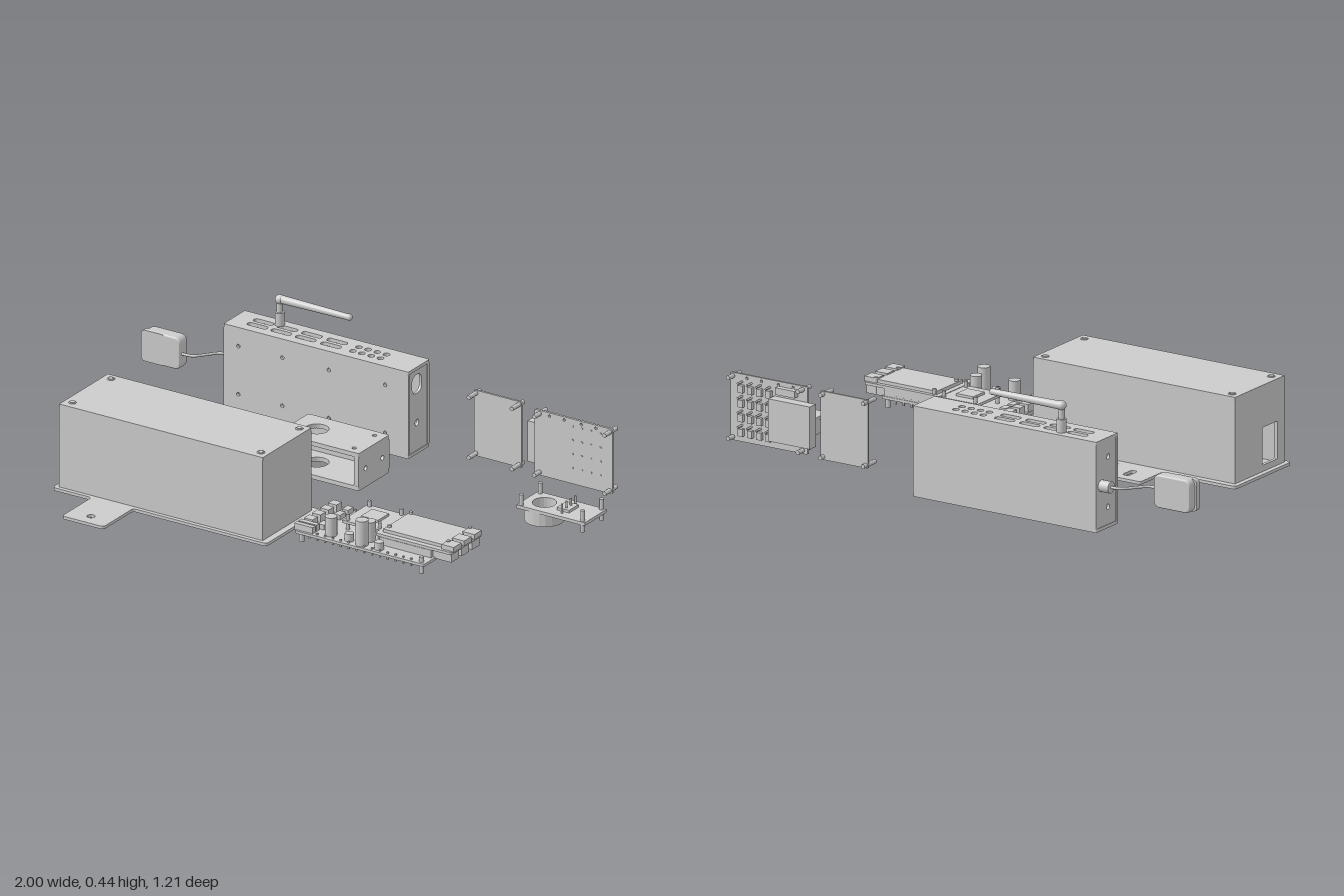
import * as THREE from 'three';

const mat = new THREE.MeshStandardMaterial({ color: 0xcccccc, side: THREE.DoubleSide });

export function createModel() {
  const root = new THREE.Group();
  let target = root;
  const group = (name) => {
    target = new THREE.Group();
    target.name = name;
    root.add(target);
  };
  const add = (name, geo, x = 0, y = 0, z = 0) => {
    const m = new THREE.Mesh(geo, mat);
    m.name = name;
    m.position.set(x, y, z);
    target.add(m);
    return m;
  };
  // box given by its limits
  const block = (name, x0, x1, y0, y1, z0, z1) =>
    add(name, new THREE.BoxGeometry(x1 - x0, y1 - y0, z1 - z0), (x0 + x1) / 2, (y0 + y1) / 2, (z0 + z1) / 2);
  // cylinder along an axis
  const rod = (name, r, len, axis, x, y, z, r2 = r, sides = 20) => {
    const g = new THREE.CylinderGeometry(r2, r, len, sides);
    if (axis === 'x') g.rotateZ(-Math.PI / 2);
    if (axis === 'z') g.rotateX(Math.PI / 2);
    return add(name, g, x, y, z);
  };
  // polygon with rounded corners
  const poly = (pts, r) => {
    const s = new THREE.Shape();
    const v = pts.map((p) => new THREE.Vector2(...p));
    v.forEach((p, i) => {
      const a = v[(i + v.length - 1) % v.length], b = v[(i + 1) % v.length];
      const p0 = p.clone().add(a.clone().sub(p).setLength(r));
      const p1 = p.clone().add(b.clone().sub(p).setLength(r));
      if (i) s.lineTo(p0.x, p0.y); else s.moveTo(p0.x, p0.y);
      s.quadraticCurveTo(p.x, p.y, p1.x, p1.y);
    });
    s.closePath();
    return s;
  };
  const rect = (x0, x1, y0, y1, r = 0.004) => poly([[x0, y0], [x1, y0], [x1, y1], [x0, y1]], r);
  const circle = (x, y, r) => new THREE.Path().absarc(x, y, r, 0, Math.PI * 2);
  const slot = (x, y, w, h) => rect(x - w / 2, x + w / 2, y - h / 2, y + h / 2, Math.min(w, h) * 0.48);
  const extrude = (shape, holes, depth) => {
    shape.holes.push(...holes);
    return new THREE.ExtrudeGeometry(shape, { depth, bevelEnabled: false, curveSegments: 10 });
  };
  // sheets: flat takes (x, z) below a top height, upright takes (x, y), end takes (z, y) inward from x
  const flat = (name, shape, holes, top, t) => add(name, extrude(shape, holes, t).rotateX(Math.PI / 2), 0, top, 0);
  const upright = (name, shape, holes, z, t) => add(name, extrude(shape, holes, t), 0, 0, z);
  const end = (name, shape, holes, x, t) => add(name, extrude(shape, holes, t).rotateY(-Math.PI / 2), x, 0, 0);

  // mounting plate with two tabs
  group('mainEnclosure');
  flat('mountingPlate', poly([[-0.78, 0.07], [-0.48, 0.07], [-0.48, -0.065], [-0.305, -0.065], [-0.305, 0.07], [0.095, 0.07],
    [0.095, 0.415], [-0.45, 0.415], [-0.45, 0.6], [-0.62, 0.6], [-0.62, 0.415], [-0.78, 0.415]], 0.015),
    [slot(-0.393, 0, 0.026, 0.06), circle(-0.535, 0.548, 0.014)], 0.017, 0.011);
  // hollow cover with a cable opening at one end
  const [cx0, cx1, cz0, cz1] = [-0.762, 0.07, 0.095, 0.4];
  flat('coverTop', rect(cx0, cx1, cz0, cz1), [], 0.327, 0.012);
  block('coverBack', cx0, cx1, 0.017, 0.315, cz0, cz0 + 0.012);
  block('coverFront', cx0, cx1, 0.017, 0.315, cz1 - 0.012, cz1);
  end('coverRightEnd', rect(cz0 + 0.012, cz1 - 0.012, 0.017, 0.315, 0.001), [rect(0.265, 0.355, 0.04, 0.175)], cx0 + 0.012, 0.012);
  end('coverLeftEnd', rect(cz0 + 0.012, cz1 - 0.012, 0.017, 0.315, 0.001), [], cx1, 0.012);
  for (const x of [-0.73, 0.04]) for (const z of [0.125, 0.365]) {
    add('coverScrew', new THREE.TorusGeometry(0.011, 0.003, 6, 20).rotateX(Math.PI / 2), x, 0.327, z);
    rod('screwHead', 0.008, 0.004, 'y', x, 0.328, z);
  }

  // upright vented enclosure
  group('ventedEnclosure');
  const [bx0, bx1, by0, by1, bz0, bz1] = [-0.66, 0.095, 0.005, 0.33, -0.605, -0.472];
  const vents = () => [-0.558, -0.52].flatMap((z) => [
    ...[-0.552, -0.455, -0.355, -0.252].map((x) => slot(x, z, 0.08, 0.023)),
    ...[-0.163, -0.126, -0.088, -0.05].map((x) => circle(x, z, 0.012))]);
  flat('ventedTop', rect(bx0, bx1, bz0, bz1), vents(), by1, 0.012);
  flat('ventedBottom', rect(bx0, bx1, bz0, bz1), vents(), by0 + 0.012, 0.012);
  const screws = [-0.6, -0.42, -0.23, 0.0].flatMap((x) => [0.08, 0.26].map((y) => circle(x, y, 0.007)));
  upright('ventedFront', rect(bx0, bx1, by0 + 0.012, by1 - 0.012), screws, bz1 - 0.012, 0.012);
  block('ventedBack', bx0, bx1, by0 + 0.012, by1 - 0.012, bz0, bz0 + 0.012);
  const side = () => rect(bz0 + 0.012, bz1 - 0.012, by0 + 0.012, by1 - 0.012, 0.001);
  end('ventedLeftEnd', side(), [slot(-0.53, 0.265, 0.06, 0.07), circle(-0.53, 0.12, 0.012)], bx1 - 0.003, 0.01);
  end('ventedRightEnd', side(), [circle(-0.53, 0.08, 0.01), circle(-0.53, 0.26, 0.01)], bx0 + 0.012, 0.01);

  // folded rod antenna
  group('antenna');
  rod('antennaBase', 0.017, 0.05, 'y', -0.494, 0.353, -0.57);
  rod('antennaNeck', 0.011, 0.04, 'y', -0.494, 0.395, -0.57);
  add('antennaHinge', new THREE.SphereGeometry(0.017, 20, 14), -0.494, 0.425, -0.57);
  rod('antennaRod', 0.015, 0.28, 'x', -0.352, 0.425, -0.572, 0.011);
  add('antennaTip', new THREE.SphereGeometry(0.012, 16, 12), -0.212, 0.425, -0.572);

  // receiver pod on a cable
  group('receiver');
  rod('cablePlug', 0.021, 0.04, 'x', -0.68, 0.167, -0.573, 0.021, 16);
  const path = new THREE.CatmullRomCurve3([[-0.69, -0.573], [-0.735, -0.565], [-0.77, -0.525], [-0.8, -0.493], [-0.85, -0.488]]
    .map(([x, z]) => new THREE.Vector3(x, 0.167, z)));
  add('cable', new THREE.TubeGeometry(path, 40, 0.005, 10));
  const pod = extrude(rect(-1, -0.84, 0.108, 0.228, 0.02), [], 0.05);
  add('pod', new THREE.ExtrudeGeometry(rect(-0.986, -0.846, 0.114, 0.222, 0.02),
    { depth: 0.026, bevelThickness: 0.012, bevelSize: 0.006, bevelSegments: 4 }), 0, 0, -0.513);
  pod.dispose();
  // sloped outer end of the pod
  upright('podEnd', rect(-1, -0.9, 0.11, 0.226, 0.02), [], -0.495, 0.02);

  // small open housing with a round opening through roof and floor
  group('sensorHousing');
  const lens = () => circle(-0.14, -0.26, 0.042);
  const base = () => rect(-0.235, 0.095, -0.353, -0.162, 0.008);
  flat('housingRoof', base(), [lens(), circle(0.055, -0.322, 0.008), circle(0.055, -0.195, 0.008)], 0.14, 0.016);
  flat('housingFloor', base(), [lens()], 0.016, 0.016);
  end('housingEnd', rect(-0.353, -0.162, 0.014, 0.126), [circle(-0.31, 0.07, 0.009), circle(-0.205, 0.07, 0.009)], 0.095, 0.02);
  block('housingBack', -0.23, 0.08, 0.014, 0.126, -0.353, -0.338);

  // sensor board with a ring underneath
  group('sensorBoard');
  flat('sensorCircuit', rect(0.72, 1, -0.328, -0.19), [circle(0.79, -0.26, 0.042)], 0.09, 0.012);
  const ring = new THREE.Shape().absarc(0.79, -0.26, 0.07, 0, Math.PI * 2);
  flat('ring', ring, [circle(0.79, -0.26, 0.042)], 0.078, 0.05);
  for (const z of [-0.318, -0.2]) for (const x of [0.735, 0.985])
    rod('sensorPost', 0.008, x > 0.9 ? 0.08 : 0.05, 'y', x, x > 0.9 ? 0.09 : 0.105, z, 0.008, 10);
  block('sensorChip', 0.86, 0.91, 0.09, 0.1, -0.29, -0.23);
  for (let i = 0; i < 4; i++) rod('sensorPin', 0.004, 0.05, 'y', 0.89, 0.1, -0.3 + i * 0.028, 0.004, 8);

  // stacked main circuit boards
  group('mainBoards');
  flat('lowerBoard', rect(0.18, 0.71, 0.115, 0.372, 0.012), [], 0.072, 0.01);
  flat('upperBoard', rect(0.47, 0.78, 0.115, 0.31, 0.012), [], 0.11, 0.01);
  block('middleBoard', 0.315, 0.475, 0.098, 0.108, 0.12, 0.278);
  block('processor', 0.36, 0.43, 0.108, 0.117, 0.16, 0.23);
  block('upperShield', 0.49, 0.74, 0.11, 0.122, 0.13, 0.29);
  for (const x of [0.2, 0.69]) for (const z of [0.13, 0.355])
    rod('boardPost', 0.009, 0.06, 'y', x, 0.06, z, 0.009, 10);
  for (const x of [0.33, 0.46, 0.5, 0.74]) for (const z of [0.13, 0.265])
    rod('stackPost', 0.007, 0.06, 'y', x, 0.1, z, 0.007, 10);
  rod('capacitor', 0.021, 0.075, 'y', 0.307, 0.105, 0.335);
  rod('tallCapacitor', 0.022, 0.1, 'y', 0.44, 0.115, 0.345);
  rod('capacitor', 0.021, 0.08, 'y', 0.442, 0.105, 0.3);
  rod('smallCapacitor', 0.016, 0.03, 'y', 0.385, 0.085, 0.34);
  rod('smallCapacitor', 0.016, 0.03, 'y', 0.51, 0.085, 0.345);
  for (const [z0, z1] of [[0.125, 0.17], [0.19, 0.235], [0.252, 0.3]]) {
    block('portShell', 0.7, 0.775, 0.068, 0.1, z0, z1);
    block('upperPort', 0.735, 0.785, 0.108, 0.127, z0, z1);
  }
  for (let i = 0; i < 4; i++) {
    block('terminal', 0.185, 0.22, 0.07, 0.1, 0.135 + i * 0.05, 0.168 + i * 0.05);
    block('driverChip', 0.24, 0.265, 0.072, 0.09, 0.13 + i * 0.05, 0.165 + i * 0.05);
  }
  for (const z of [0.345, 0.32]) block('plug', 0.175, 0.25, 0.07, 0.095, z, z + 0.018);
  for (let i = 0; i < 14; i++) for (const z of [0.12, 0.36])
    block('solderPin', 0.232 + i * 0.032, 0.238 + i * 0.032, 0.05, 0.078, z - 0.003, z + 0.003);
  block('headerStrip', 0.49, 0.7, 0.072, 0.1, 0.3, 0.312);
  block('headerStrip', 0.49, 0.7, 0.072, 0.1, 0.118, 0.13);

  // plain upright board
  group('plainBoard');
  upright('plainCircuit', rect(0.32, 0.515, 0.05, 0.295), [], -0.546, 0.008);
  for (const x of [0.329, 0.505]) for (const y of [0.06, 0.285]) rod('plainPost', 0.008, 0.074, 'z', x, y, -0.527, 0.008, 10);

  // upright board with parts on its back
  group('componentBoard');
  upright('componentCircuit', rect(0.58, 0.897, 0.05, 0.292), [0.64, 0.7, 0.77, 0.83].map((x) => circle(x, 0.28, 0.005)), -0.529, 0.009);
  block('module', 0.545, 0.716, 0.085, 0.237, -0.568, -0.529);
  for (const x of [0.6, 0.887]) for (const y of [0.062, 0.28]) rod('componentPost', 0.008, 0.076, 'z', x, y, -0.523, 0.008, 10);
  for (let i = 0; i < 4; i++) for (let j = 0; j < 4; j++) {
    const x = 0.735 + i * 0.038, y = 0.085 + j * 0.052;
    block('component', x - 0.01, x + 0.01, y - 0.013, y + 0.013, -0.543, -0.529);
    rod('lead', 0.004, 0.04, 'z', x, y + 0.024, -0.538, 0.004, 8);
  }
  block('backConnector', 0.62, 0.7, 0.25, 0.275, -0.55, -0.529);
  return root;
}
